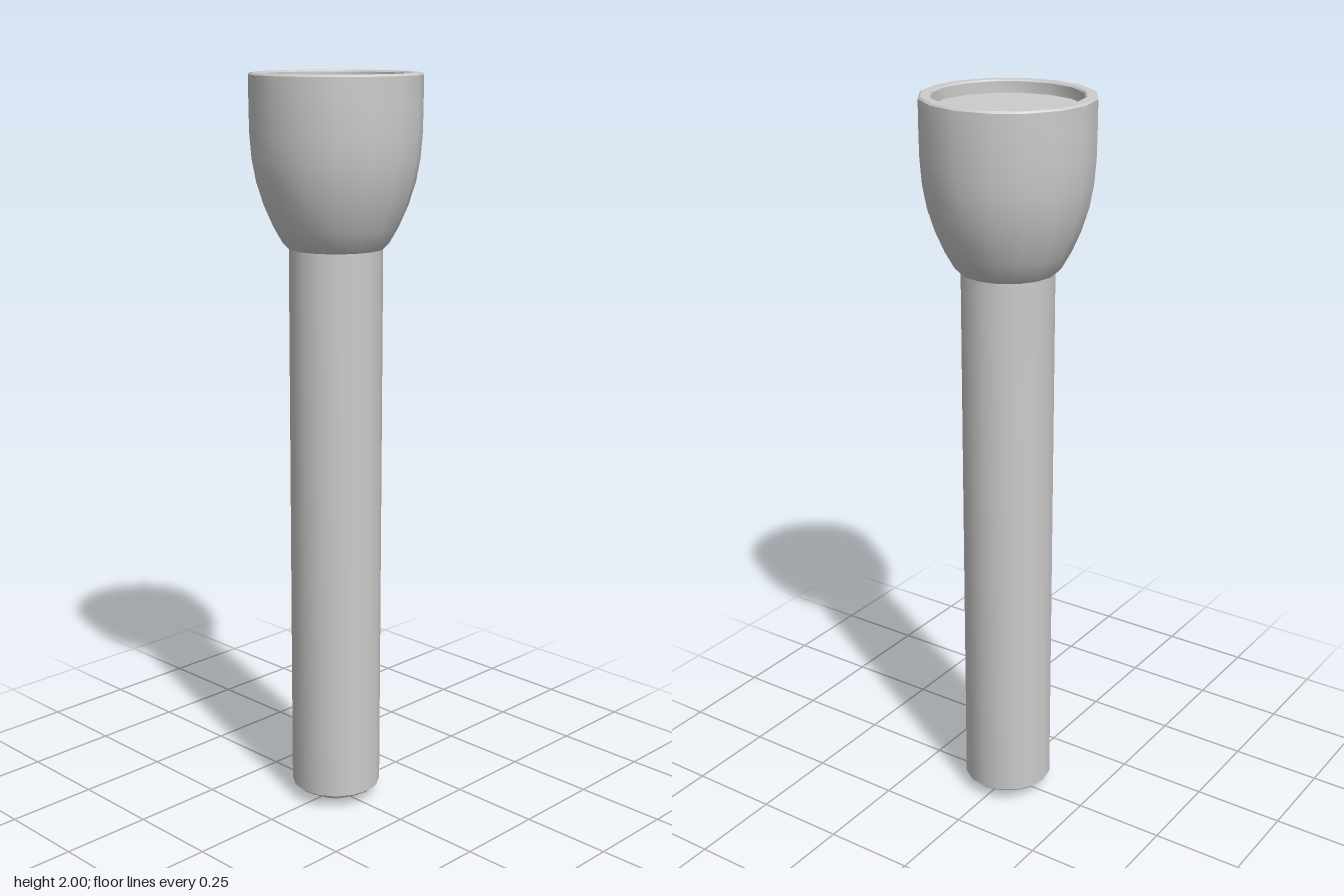
import * as THREE from 'three';
import { toCreasedNormals } from 'three/addons/utils/BufferGeometryUtils.js';

const SIDES = 16;

export function createModel() {
  const group = new THREE.Group();
  const material = new THREE.MeshStandardMaterial({ color: 0xcccccc });

  // Spins a [radius, height] profile, running bottom to top, around the y axis
  function turned(name, profile) {
    const points = profile.map(([r, y]) => new THREE.Vector2(r, y));
    const geometry = toCreasedNormals(new THREE.LatheGeometry(points, SIDES), 0.6);
    const mesh = new THREE.Mesh(geometry, material);
    mesh.name = name;
    group.add(mesh);
  }

  // Button under the base
  turned('tailButton', [
    [0, 0.005], [0.055, 0.005], [0.068, 0.012], [0.074, 0.024], [0.074, 0.045],
  ]);

  // Long straight handle with softened bottom edge
  turned('handle', [
    [0, 0.04], [0.117, 0.04], [0.123, 0.046], [0.123, 1.56],
  ]);

  // Flared head, its rim, and the shallow recess inside it
  turned('head', [
    [0.1, 1.555], [0.127, 1.555], [0.138, 1.566], [0.163, 1.61], [0.187, 1.665],
    [0.206, 1.725], [0.217, 1.785], [0.222, 1.85], [0.223, 1.92], [0.223, 1.995],
    [0.218, 2], [0.196, 2], [0.192, 1.996], [0.192, 1.965],
  ]);

  // Flat lens closing the recess
  turned('lens', [[0.192, 1.967], [0, 1.967]]);

  return group;
}
